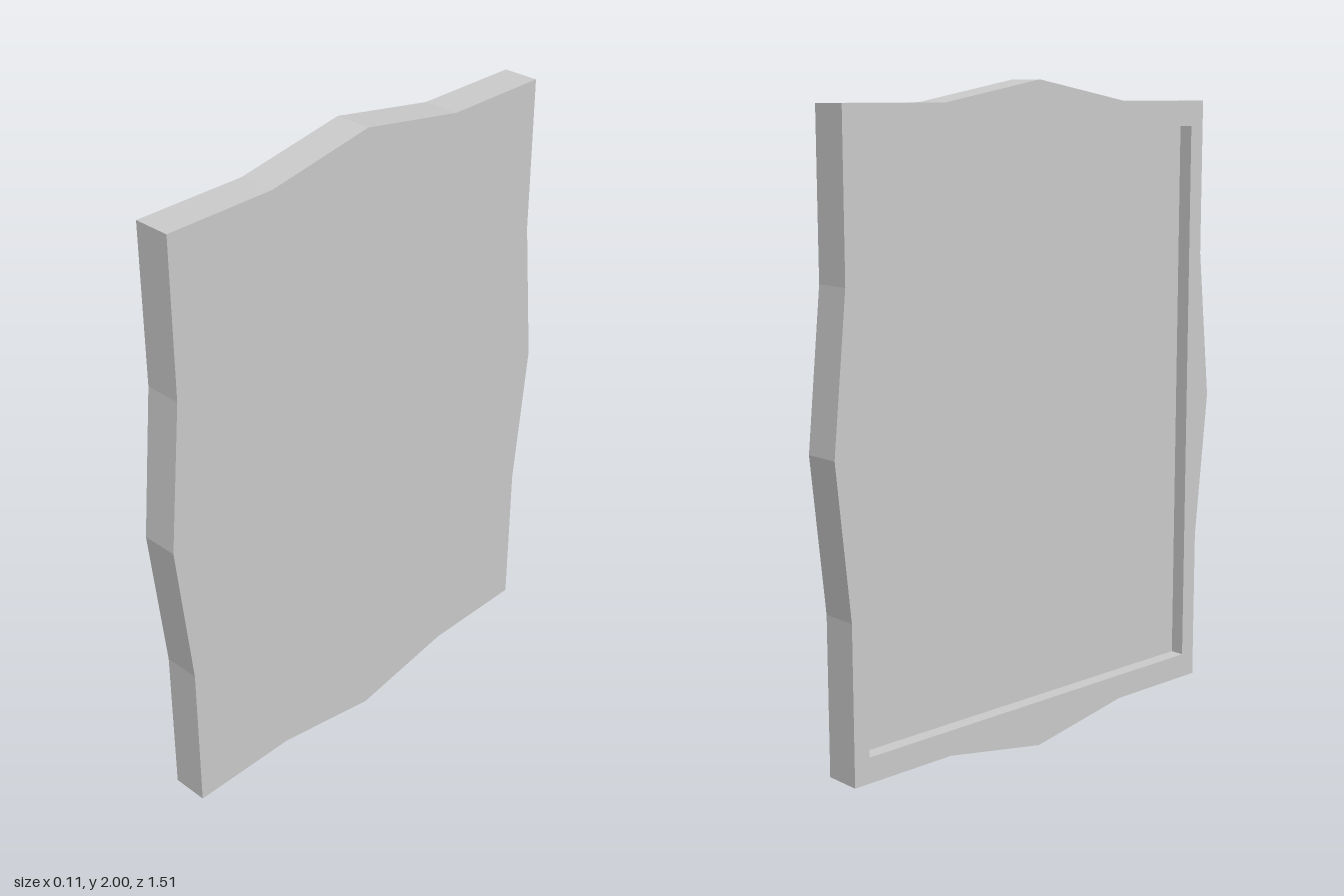
import * as THREE from 'three';

const HALF = 0.057;   // half thickness
const FLOOR = 0.012;  // recess floor level, measured towards the open side

// Counter-clockwise outline: straight corners, a shallow point on each side
function outlinePoints() {
  const quarter = [[0.755, 0], [0.708, 0.46], [0.708, 0.937], [0.355, 0.937]];
  const half = [...quarter, [0, 1], ...quarter.slice(1).reverse().map(([u, v]) => [-u, v])];
  return [...half, ...half.map(([u, v]) => [-u, -v])]
    .map(([u, v]) => new THREE.Vector2(u, v + 1));
}

// Flat-shaded band following a closed loop; faces outwards for a counter-clockwise loop
function wall(loop, w0, w1) {
  const pos = [];
  loop.forEach((p, i) => {
    const q = loop[(i + 1) % loop.length];
    pos.push(p.x, p.y, w0, q.x, q.y, w0, q.x, q.y, w1);
    pos.push(p.x, p.y, w0, q.x, q.y, w1, p.x, p.y, w1);
  });
  const geo = new THREE.BufferGeometry();
  geo.setAttribute('position', new THREE.Float32BufferAttribute(pos, 3));
  geo.computeVertexNormals();
  return geo;
}

export function createModel() {
  const model = new THREE.Group();
  model.name = 'panel';
  const material = new THREE.MeshStandardMaterial({ color: 0xcccccc, flatShading: true });
  const add = (name, geo) => {
    geo.rotateY(-Math.PI / 2); // local depth axis becomes -x, the recessed side
    const mesh = new THREE.Mesh(geo, material);
    mesh.name = name;
    model.add(mesh);
  };

  const outline = outlinePoints();
  const opening = [[-0.655, 0.14], [0.655, 0.14], [0.655, 1.86], [-0.655, 1.86]]
    .map(([u, v]) => new THREE.Vector2(u, v));

  // Plain face
  add('plainFace', new THREE.ShapeGeometry(new THREE.Shape(outline))
    .translate(0, 0, HALF).rotateY(Math.PI));

  // Outer edge
  add('outerEdge', wall(outline, -HALF, HALF));

  // Frame rim around the recess
  const rim = new THREE.Shape(outline);
  rim.holes.push(new THREE.Path(opening));
  add('frameRim', new THREE.ShapeGeometry(rim).translate(0, 0, HALF));

  // Recess: inward-facing walls and floor
  add('recessWalls', wall([...opening].reverse(), FLOOR, HALF));
  add('recessFloor', new THREE.ShapeGeometry(new THREE.Shape(opening)).translate(0, 0, FLOOR));

  return model;
}
